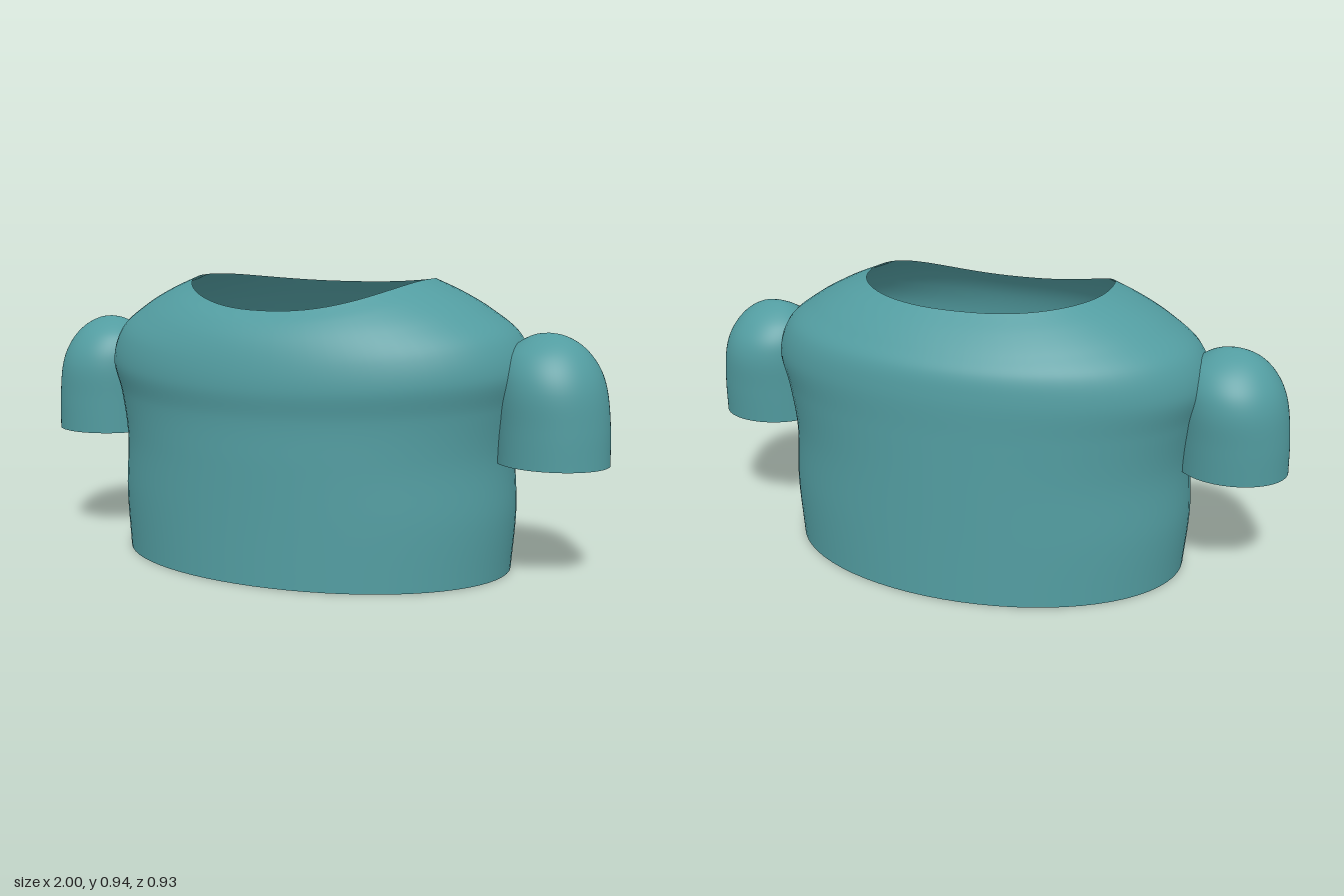
import * as THREE from 'three';

const SEG = 72;

// Skin a stack of closed rings; ring(t, angle) returns [x, y, z], t runs bottom to top
function loft(ring, rows) {
  const pos = [], idx = [];
  for (let i = 0; i <= rows; i++) {
    for (let j = 0; j < SEG; j++) {
      pos.push(...ring(i / rows, (j / SEG) * Math.PI * 2));
      if (i === rows) continue;
      const k = (j + 1) % SEG, a = i * SEG + j, b = i * SEG + k;
      idx.push(a, a + SEG, b, b, a + SEG, b + SEG);
    }
  }
  const g = new THREE.BufferGeometry();
  g.setAttribute('position', new THREE.Float32BufferAttribute(pos, 3));
  g.setIndex(idx);
  g.computeVertexNormals();
  return g;
}

const spline = (pts) => new THREE.CatmullRomCurve3(pts.map(([r, y]) => new THREE.Vector3(r, y, 0)));
const spow = (v, p) => Math.sign(v) * Math.abs(v) ** p;

// Torso profiles (radius, height) at the side, front and back
const side = spline([[0.68, 0], [0.695, 0.2], [0.688, 0.4], [0.712, 0.55], [0.738, 0.66], [0.7, 0.765], [0.6, 0.845], [0.5, 0.9], [0.405, 0.94]]);
const front = spline([[0.465, 0], [0.46, 0.2], [0.457, 0.38], [0.455, 0.52], [0.465, 0.61], [0.455, 0.69], [0.432, 0.76], [0.4, 0.81], [0.36, 0.85]]);
const back = spline([[0.465, 0], [0.46, 0.2], [0.456, 0.4], [0.453, 0.55], [0.45, 0.68], [0.435, 0.755], [0.4, 0.805], [0.35, 0.86], [0.295, 0.91]]);

function torsoRing(t, a, inset = 0) {
  const c = Math.cos(a), s = Math.sin(a);
  const p = side.getPoint(t), q = (s >= 0 ? front : back).getPoint(t);
  const e = 2 / (2 + 0.3 * t ** 4); // squarer towards the neck
  return [
    (p.x - inset) * spow(c, e),
    THREE.MathUtils.lerp(p.y, q.y, s * s),
    (q.x - inset) * spow(s, e),
  ];
}

// Sleeve outline: height, outer x, inner x, front z, back z
const sleeveRows = [
  [0.38, 1.0, 0.645, 0.175, -0.137],
  [0.5, 0.996, 0.645, 0.178, -0.146],
  [0.61, 0.982, 0.645, 0.178, -0.151],
  [0.67, 0.962, 0.65, 0.162, -0.137],
  [0.72, 0.93, 0.67, 0.13, -0.103],
  [0.755, 0.892, 0.71, 0.088, -0.06],
  [0.778, 0.845, 0.755, 0.04, -0.012],
  [0.785, 0.8, 0.8, 0.015, 0.015],
];
const outer = spline(sleeveRows.map((r) => [r[1], r[0]]));
const inner = spline(sleeveRows.map((r) => [r[2], r[0]]));
const fore = spline(sleeveRows.map((r) => [r[3], r[0]]));
const aft = spline(sleeveRows.map((r) => [r[4], r[0]]));

function sleeveRing(t, a, inset = 0) {
  const o = outer.getPoint(t), i = inner.getPoint(t), f = fore.getPoint(t), b = aft.getPoint(t);
  const x = (o.x + i.x) / 2 + ((o.x - i.x) / 2 - inset) * Math.cos(a);
  const z = (f.x + b.x) / 2 + ((f.x - b.x) / 2 - inset) * Math.sin(a);
  return [Math.max(x, 0.662), o.y, z]; // keep the inner wall against the torso
}

// Flat lip giving an open hem its thickness
const hem = (ring) => loft((t, a) => ring(0, a, 0.01 * (1 - t)), 1);

export function createModel() {
  const model = new THREE.Group();
  model.name = 'shirt';
  const cloth = new THREE.MeshStandardMaterial({ color: 0x529ca0, side: THREE.DoubleSide });

  const add = (parent, geometry, name) => {
    const mesh = new THREE.Mesh(geometry, cloth);
    mesh.name = name;
    parent.add(mesh);
  };

  // Body with open neck and open bottom
  add(model, loft(torsoRing, 64), 'torso');
  add(model, hem(torsoRing), 'torsoHem');

  // Short sleeves, mirrored
  const sleeveGeometry = loft(sleeveRing, 42), cuffGeometry = hem(sleeveRing);
  for (const [name, sign] of [['left', 1], ['right', -1]]) {
    const sleeve = new THREE.Group();
    sleeve.name = name + 'Sleeve';
    sleeve.scale.x = sign;
    add(sleeve, sleeveGeometry, name + 'SleeveShell');
    add(sleeve, cuffGeometry, name + 'SleeveCuff');
    model.add(sleeve);
  }
  return model;
}
